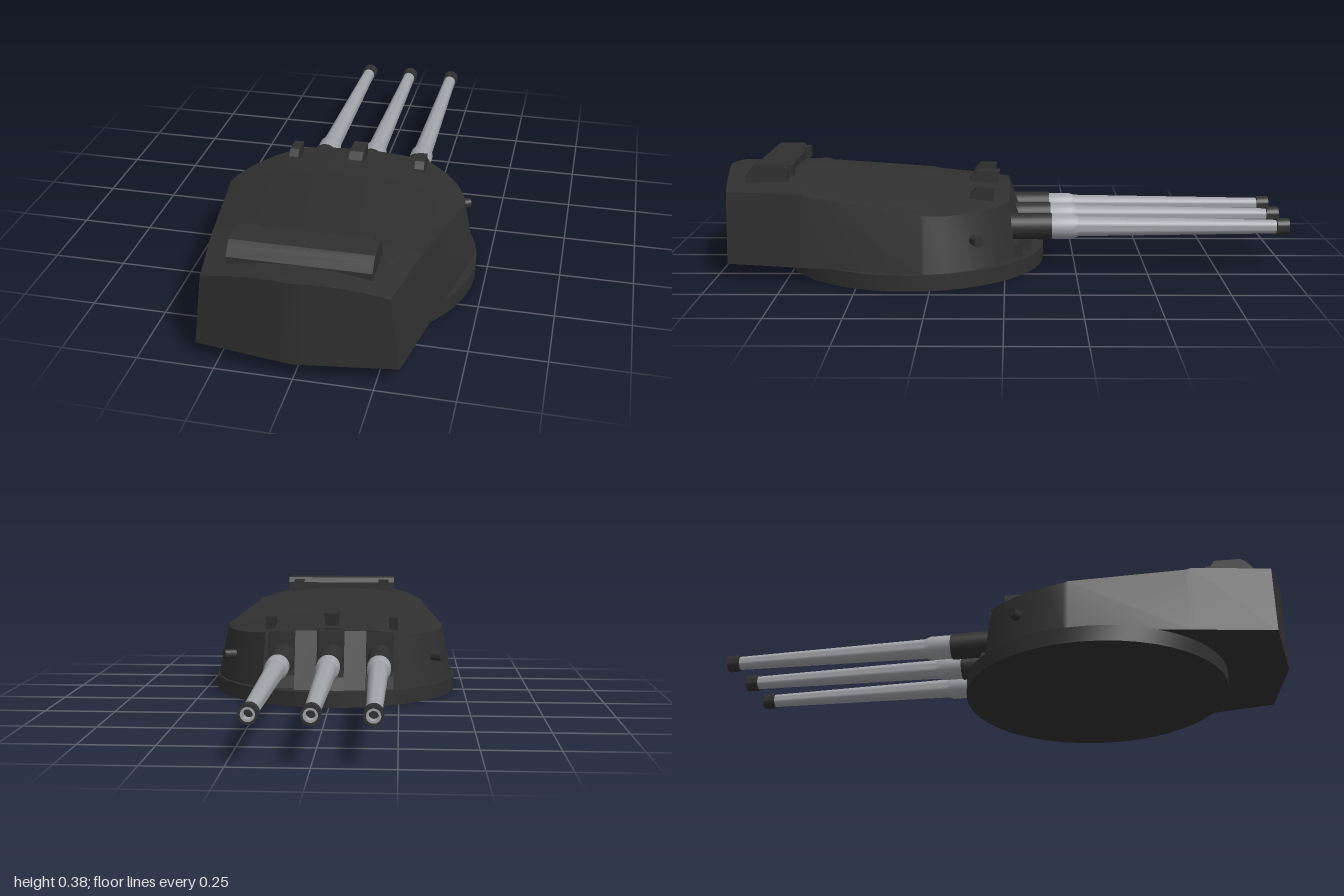
import * as THREE from 'three';
import { toCreasedNormals } from 'three/addons/utils/BufferGeometryUtils.js';

const armour = new THREE.MeshStandardMaterial({ color: 0x303030, side: THREE.DoubleSide });
armour.name = 'dark armour';
const steel = new THREE.MeshStandardMaterial({ color: 0xa0a3a8 });
steel.name = 'grey steel';

function add(parent, name, geo, mat = armour, x = 0, y = 0, z = 0) {
  const m = new THREE.Mesh(geo, mat);
  m.name = name;
  m.position.set(x, y, z);
  parent.add(m);
  return m;
}

// Extrudes a (z, y) side profile across x from x0 to x1
function sideExtrude(profile, x0, x1) {
  const shape = new THREE.Shape(profile.map(([z, y]) => new THREE.Vector2(-z, y)));
  const g = new THREE.ExtrudeGeometry(shape, { depth: x1 - x0, bevelEnabled: false });
  g.rotateY(Math.PI / 2);
  g.translate(x0, 0, 0);
  return toCreasedNormals(g, 0.5);
}

const FLOOR = 0.055;
const CURVE = 0.33; // cross fall of the arched roof

// Armoured house: rows from rear to front
// [roof z, roof half width, crown height, floor z, floor half width]
function houseGeometry() {
  const rows = [
    [0.955, 0.29, 0.345, 0.955, 0.32],
    [0.69, 0.338, 0.341, 0.69, 0.372],
    [0.675, 0.341, 0.335, 0.675, 0.375],
    [0.28, 0.413, 0.308, 0.28, 0.455],
    [0.265, 0.415, 0.303, 0.265, 0.455],
    [0.2, 0.402, 0.296, 0.19, 0.436],
    [0.13, 0.372, 0.289, 0.11, 0.4],
    [0.05, 0.315, 0.279, 0.03, 0.34],
    [-0.015, 0.24, 0.272, -0.035, 0.255],
  ];
  const K = 12, N = 2 * (K + 1);
  const pos = [], idx = [];
  rows.forEach(([zt, wt, cy, zb, wb], i) => {
    const k = i === 0 ? 0.53 : CURVE;
    for (let j = 0; j < N; j++) {
      const roof = j <= K;
      const t = roof ? -1 + (2 * j) / K : 1 - (2 * (j - K - 1)) / K;
      const bow = i === 0 ? 0.045 * (1 - Math.abs(t)) : 0;
      if (roof) pos.push(t * wt, cy - k * (t * wt) ** 2, zt + bow);
      else pos.push(t * wb, FLOOR, zb + bow);
    }
  });
  for (let i = 0; i < rows.length - 1; i++)
    for (let j = 0; j < N; j++) {
      const a = i * N + j, b = i * N + ((j + 1) % N);
      idx.push(a, b, b + N, a, b + N, a + N);
    }
  // bowed rear plate
  for (let j = 0; j < K; j++) {
    const f0 = N - 1 - j, f1 = N - 2 - j;
    idx.push(f0, f1, j + 1, f0, j + 1, j);
  }
  const g = new THREE.BufferGeometry();
  g.setAttribute('position', new THREE.Float32BufferAttribute(pos, 3));
  g.setIndex(idx);
  return toCreasedNormals(g, 0.4);
}

// Gun lying along -z; lathe heights are distances forward of z = 0
function createGun(x) {
  const gun = new THREE.Group();
  gun.name = 'gun';
  const turn = (name, pts, mat) => add(gun, name, toCreasedNormals(
    new THREE.LatheGeometry(pts.map(([r, h]) => new THREE.Vector2(r, h)), 24), 0.6), mat);
  turn('gunSleeve', [[0.046, -0.08], [0.046, 0.165], [0.03, 0.165]], armour);
  turn('gunCollar', [[0.037, 0.16], [0.042, 0.165], [0.042, 0.24], [0.036, 0.258], [0.02, 0.258]], steel);
  turn('barrel', [[0.035, 0.25], [0.024, 0.96]], steel);
  turn('muzzleCap', [[0.02, 0.955], [0.03, 0.957], [0.03, 1], [0.022, 1]], armour);
  turn('muzzleRing', [[0.022, 1], [0.015, 1], [0.015, 0.965]], steel);
  turn('bore', [[0.015, 0.966], [0, 0.966]], armour);
  gun.rotation.x = -Math.PI / 2;
  gun.position.set(x, 0.155, 0);
  return gun;
}

export function createModel() {
  const model = new THREE.Group();
  model.name = 'gunTurret';

  add(model, 'baseRing', toCreasedNormals(new THREE.CylinderGeometry(0.465, 0.465, 0.055, 48), 0.5),
    armour, 0, 0.0275, 0.325);
  add(model, 'house', houseGeometry());

  // Front wall: ribs between the gun slots, a low sill and a recessed backing
  const front = new THREE.Group();
  front.name = 'frontWall';
  model.add(front);
  const slope = (x, y) => {
    const zb = 0.325 - Math.sqrt(0.425 ** 2 - x * x);
    const top = 0.27 - CURVE * x * x;
    return zb + (-0.015 - zb) * (y - FLOOR) / (top - FLOOR);
  };
  for (const [a, b] of [[-0.245, -0.23], [-0.13, -0.05], [0.05, 0.13], [0.23, 0.245]]) {
    const x = Math.abs(a + b) / 2, top = 0.268 - CURVE * Math.max(a * a, b * b);
    add(front, 'frontRib', sideExtrude(
      [[0.08, FLOOR], [slope(x, FLOOR), FLOOR], [slope(x, top), top], [0.08, top]], a, b));
  }
  for (const x of [-0.18, 0, 0.18]) {
    add(front, 'slotSill', sideExtrude(
      [[0.08, FLOOR], [slope(x, FLOOR), FLOOR], [slope(x, 0.1), 0.1], [0.08, 0.1]], x - 0.05, x + 0.05));
    model.add(createGun(x));
  }
  add(front, 'slotBacking', new THREE.BoxGeometry(0.48, 0.19, 0.01), armour, 0, 0.15, 0.06);

  // Sighting hoods along the front of the roof
  const hood = [[0.135, 0.27], [0.125, 0.3], [0.1, 0.322], [0.02, 0.322], [0.03, 0.26]];
  add(model, 'centreHood', sideExtrude(hood, -0.025, 0.025));
  for (const s of [-1, 1]) {
    const h = add(model, 'sideHood', sideExtrude(hood, -0.017, 0.017), armour, s * 0.228, -0.015, 0.018);
    h.scale.z = 0.8;
    // Round sight port on the flank
    const port = add(model, 'sidePort', toCreasedNormals(new THREE.CylinderGeometry(0.018, 0.018, 0.06, 16), 0.6),
      armour, s * 0.383, 0.155, 0.1);
    port.rotation.set(0, s * 0.5, Math.PI / 2);
  }

  // Rangefinder housing across the rear roof with two lens boxes
  add(model, 'rangefinder', sideExtrude(
    [[0.9, 0.31], [0.9, 0.345], [0.88, 0.37], [0.86, 0.384], [0.77, 0.385], [0.755, 0.365], [0.755, 0.31]],
    -0.225, 0.225));
  for (const s of [-1, 1])
    add(model, 'rangefinderLens', new THREE.BoxGeometry(0.042, 0.04, 0.06), armour, s * 0.18, 0.358, 0.768);

  return model;
}
